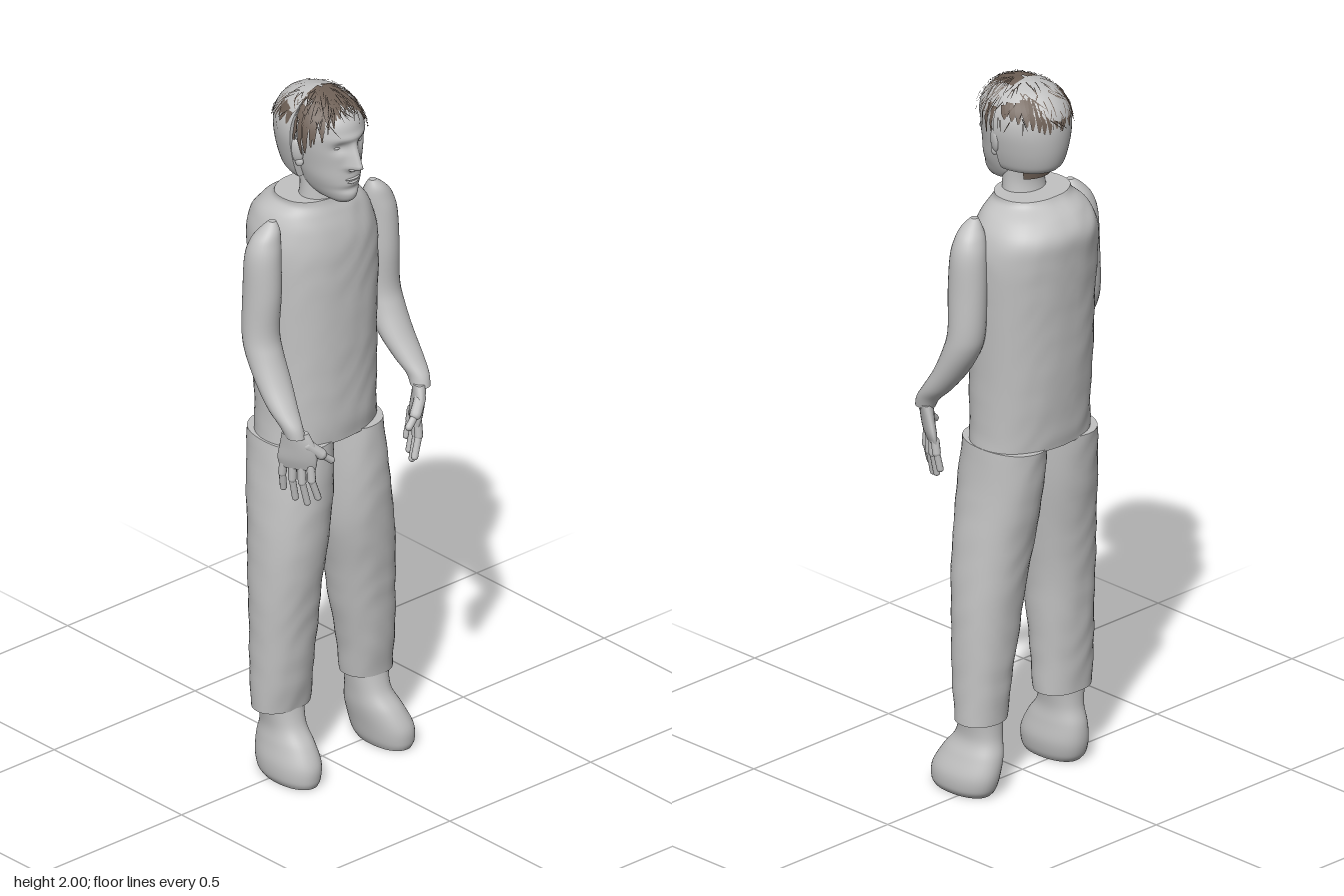
import * as THREE from 'three';

const grey = new THREE.MeshStandardMaterial({ color: 0xc2c2c2, name: 'plainGrey' });
const brown = new THREE.MeshStandardMaterial({ color: 0x6e6056, name: 'hairBrown', side: THREE.DoubleSide });

let seed = 7;
const rnd = () => (seed = (seed * 16807) % 2147483647) / 2147483647;
const V = (x, y, z) => new THREE.Vector3(x, y, z);
const bump = (d, s) => Math.exp(-(d * d) / (s * s));

function add(parent, name, geo, mat = grey) {
  const m = new THREE.Mesh(geo, mat);
  m.name = name;
  parent.add(m);
  return m;
}

// Smooth skin over horizontal rings [y, centre x, half width, front z, back z, widest z], bottom to top
function loft(rings, { seg = 40, steps = 6, power = 1, warp = null } = {}) {
  const full = rings.map(r => [...r.slice(0, 5), r[5] ?? (r[3] + r[4]) / 2]);
  const rows = [];
  for (let i = 0; i < full.length - 1; i++) {
    const q = [-1, 0, 1, 2].map(k => full[Math.min(full.length - 1, Math.max(0, i + k))]);
    for (let s = 0; s < steps + (i === full.length - 2 ? 1 : 0); s++) {
      const t = s / steps;
      rows.push(q[0].map((_, k) => {
        const [a, b, c, d] = q.map(r => r[k]);
        return b + 0.5 * t * (c - a + t * (2 * a - 5 * b + 4 * c - d + t * (3 * (b - c) + d - a)));
      }));
    }
  }
  const pos = [], idx = [];
  const put = r => {
    for (let j = 0; j < seg; j++) {
      const a = j / seg * Math.PI * 2, c = Math.cos(a), s = Math.sin(a);
      const cc = Math.sign(c) * Math.abs(c) ** power, ss = Math.sign(s) * Math.abs(s) ** power;
      const p = V(r[1] + r[2] * cc, r[0], r[5] + ss * (s > 0 ? r[3] - r[5] : r[5] - r[4]));
      if (warp) warp(p);
      pos.push(p.x, p.y, p.z);
    }
  };
  rows.forEach(put);
  for (let i = 0; i < rows.length - 1; i++) for (let j = 0; j < seg; j++) {
    const k = (j + 1) % seg, a = i * seg + j, b = i * seg + k;
    idx.push(a, a + seg, b, b, a + seg, b + seg);
  }
  // flat end caps
  [rows[0], rows[rows.length - 1]].forEach((r, top) => {
    const start = pos.length / 3;
    put(r);
    const c = V(r[1], r[0], (r[3] + r[4]) / 2);
    if (warp) warp(c);
    pos.push(c.x, c.y, c.z);
    for (let j = 0; j < seg; j++) {
      const a = start + j, b = start + (j + 1) % seg;
      idx.push(start + seg, top ? b : a, top ? a : b);
    }
  });
  const g = new THREE.BufferGeometry();
  g.setAttribute('position', new THREE.Float32BufferAttribute(pos, 3));
  g.setIndex(idx);
  g.computeVertexNormals();
  return g;
}

function ball(parent, name, p, s) {
  const m = add(parent, name, new THREE.SphereGeometry(1, 20, 14));
  m.position.set(...p);
  m.scale.set(...s);
  return m;
}

function capsule(parent, name, a, b, r) {
  const d = b.clone().sub(a);
  const m = add(parent, name, new THREE.CapsuleGeometry(r, d.length(), 4, 10));
  m.position.copy(a).add(b).multiplyScalar(0.5);
  m.quaternion.setFromUnitVectors(V(0, 1, 0), d.normalize());
}

// Soft lumps in the cloth
const creases = p => {
  const n = Math.sin(p.x * 45 + 2 * Math.sin(p.y * 19)) * Math.sin(p.y * 42 + 2 * Math.sin(p.x * 27 + p.z * 20));
  p.z += n * 0.0016;
  p.x += n * 0.001;
};

function buildHead(g) {
  const cx = -0.01;
  add(g, 'neck', loft([[1.66, cx, 0.066, 0.06, -0.055], [1.72, cx, 0.06, 0.056, -0.045], [1.8, cx, 0.06, 0.05, -0.06]]));
  // Face with nose, eye sockets, brow and chin pressed into the skin
  const features = p => {
    if (p.z < 0.05) return;
    const x = p.x - cx, y = p.y;
    const slope = y > 1.808 ? Math.max(0, 1 - (y - 1.808) / 0.075) : Math.max(0, 1 - (1.808 - y) / 0.016);
    p.z += 0.036 * slope * bump(x, 0.011 + 0.008 * slope);
    p.z -= 0.012 * bump(Math.abs(x) - 0.036, 0.02) * bump(y - 1.866, 0.016);
    p.z += 0.005 * bump(y - 1.893, 0.011) * bump(x, 0.06);
    p.z -= 0.007 * bump(y - 1.74, 0.01) * bump(x, 0.04);
  };
  add(g, 'face', loft([
    [1.697, cx, 0.026, 0.118, 0.06], [1.71, cx, 0.044, 0.131, 0.02, 0.05], [1.735, cx, 0.06, 0.136, -0.02, 0.03],
    [1.77, cx, 0.073, 0.135, -0.06, 0.03], [1.81, cx, 0.083, 0.134, -0.09, 0.02], [1.86, cx, 0.092, 0.136, -0.1, 0.02],
    [1.9, cx, 0.097, 0.137, -0.11, 0.01], [1.935, cx, 0.09, 0.128, -0.1, 0.01], [1.965, cx, 0.073, 0.101, -0.08, 0.01],
    [1.983, cx, 0.05, 0.069, -0.06, 0.01], [1.993, cx, 0.015, 0.02, -0.02, 0.0],
  ], { seg: 96, steps: 7, warp: features }));
  // Back of the skull, cut flat behind the ears
  const skull = [[1.757, 0.08, -0.1], [1.775, 0.09, -0.115], [1.82, 0.103, -0.128], [1.875, 0.112, -0.134], [1.92, 0.107, -0.13],
    [1.955, 0.088, -0.109], [1.98, 0.06, -0.075], [1.992, 0.02, -0.025]];
  add(g, 'skullBack', loft(skull.map(([y, w, b]) => [y, cx - 0.003, w, 0.011, b, 0.01]), { seg: 64 }));
  for (const s of [-1, 1]) {
    ball(g, 'eye', [cx + s * 0.036, 1.865, 0.107], [0.015, 0.006, 0.01]);
    ball(g, 'nostril', [cx + s * 0.012, 1.804, 0.138], [0.008, 0.007, 0.012]);
    const ear = ball(g, 'ear', [cx + s * 0.097, 1.842, 0.015], [0.01, 0.036, 0.02]);
    ear.rotation.set(-0.15, s * -0.35, s * -0.15);
    const lobe = ball(g, 'earLobe', [cx + s * 0.092, 1.81, 0.022], [0.008, 0.014, 0.012]);
    lobe.rotation.y = s * -0.3;
  }
  ball(g, 'upperLip', [cx, 1.771, 0.127], [0.025, 0.005, 0.012]);
  ball(g, 'lowerLip', [cx, 1.761, 0.126], [0.022, 0.006, 0.012]);
}

// Point on the scalp: az 90 is the front, el 90 the crown
function scalp(az, el, lift) {
  const a = az * Math.PI / 180, e = el * Math.PI / 180, back = Math.sin(a) < 0;
  return V(-0.012 + ((back ? 0.112 : 0.1) + lift) * Math.cos(e) * Math.cos(a), 1.883 + (0.111 + lift) * Math.sin(e),
    0.008 + ((back ? 0.141 : 0.135) + lift) * Math.cos(e) * Math.sin(a));
}

// Many tapering strips of hair in one mesh: [az0, el0, az1, el1, width, lift]
function hairMesh(parent, name, strips) {
  const pos = [], idx = [], n = 5;
  for (const [a0, e0, a1, e1, w, lift] of strips) {
    const base = pos.length / 3;
    for (let i = 0; i <= n; i++) {
      const t = i / n, at = u => scalp(a0 + (a1 - a0) * u, e0 + (e1 - e0) * u, lift);
      const p = at(t), dir = at(t + 0.05).sub(p);
      const out = p.clone().sub(V(-0.012, 1.883, 0.008));
      const side = dir.cross(out).normalize().multiplyScalar(w * (1 - 0.8 * t ** 3) / 2);
      for (const s of [-1, 1]) pos.push(p.x + s * side.x, p.y + s * side.y, p.z + s * side.z);
      if (i < n) { const k = base + i * 2; idx.push(k, k + 1, k + 2, k + 1, k + 3, k + 2); }
    }
  }
  const geo = new THREE.BufferGeometry();
  geo.setAttribute('position', new THREE.Float32BufferAttribute(pos, 3));
  geo.setIndex(idx);
  geo.computeVertexNormals();
  add(parent, name, geo, brown);
}

function buildHair(g) {
  const locks = [], strands = [];
  // Short fringe over the forehead, longer at the temples, with sideburns
  for (let az = 3; az <= 177; az += 6) {
    const low = 44 - 70 * Math.cos(az * Math.PI / 180) ** 2;
    locks.push([az, 88, az + rnd() * 6 - 3, low + rnd() * 8, 0.019, 0.004]);
    for (let k = 0; k < 3; k++) {
      const e = Math.max(low + 10, 25 + rnd() * 55);
      strands.push([az + rnd() * 6, e, az + rnd() * 40 - 20, Math.max(low - 8, e - 32), 0.0025, 0.006 + rnd() * 0.003]);
    }
  }
  // Thick locks down the back, with loose strands over the bare crown
  for (let az = 188; az <= 352; az += 7) {
    const middle = Math.abs(Math.sin(az * Math.PI / 180));
    locks.push([az, 34 + 22 * middle - rnd() * 6, az + rnd() * 10 - 5, 18 - 18 * middle + rnd() * 10, 0.021, 0.004]);
    for (let k = 0; k < 3; k++) {
      const e = 15 + rnd() * 60;
      strands.push([az + rnd() * 8, e, az + rnd() * 36 - 18, Math.max(-12, e - 16), 0.0025, 0.005 + rnd() * 0.003]);
    }
  }
  hairMesh(g, 'hairLocks', locks);
  hairMesh(g, 'hairStrands', strands);
  const nape = add(g, 'napeHair', new THREE.CylinderGeometry(0.076, 0.07, 0.03, 16, 1, true, Math.PI - 0.85, 1.7), brown);
  nape.position.set(-0.01, 1.748, 0);
}

function buildArm(side) {
  const g = new THREE.Group();
  g.name = side > 0 ? 'leftArm' : 'rightArm';
  const x = v => side * v;
  add(g, 'sleeveAndForearm', loft([
    [1.08, x(0.222), 0.025, 0.168, 0.11], [1.11, x(0.225), 0.029, 0.158, 0.09], [1.15, x(0.223), 0.04, 0.13, 0.048],
    [1.21, x(0.217), 0.049, 0.092, 0.0], [1.28, x(0.215), 0.051, 0.06, -0.042], [1.34, x(0.213), 0.05, 0.045, -0.058],
    [1.45, x(0.209), 0.049, 0.05, -0.061], [1.55, x(0.206), 0.048, 0.045, -0.057], [1.6, x(0.198), 0.042, 0.036, -0.045],
    [1.63, x(0.188), 0.028, 0.027, -0.028], [1.652, x(0.178), 0.01, 0.01, -0.01],
  ], { seg: 28 }));
  // Hand turned so its front edge points inward
  const turn = z => 0.55 * (0.135 - z);
  add(g, 'palm', loft([
    [0.98, x(0.205), 0.013, 0.175, 0.088], [1.01, x(0.211), 0.018, 0.182, 0.088], [1.05, x(0.217), 0.02, 0.182, 0.098],
    [1.09, x(0.222), 0.023, 0.166, 0.108],
  ], { seg: 24, warp: p => { p.x += x(turn(p.z)); } }));
  // Fingers in two bones each, then the thumb
  [[0.164, 0.172, 0.895], [0.142, 0.146, 0.875], [0.12, 0.117, 0.885], [0.098, 0.088, 0.91]].forEach(([z0, z1, tip]) => {
    const knee = V(x(0.206 + turn(z0)), (0.985 + tip) / 2 + 0.01, (z0 + z1) / 2);
    capsule(g, 'finger', V(x(0.206 + turn(z0)), 0.99, z0), knee, 0.0115);
    capsule(g, 'fingertip', knee, V(x(0.192 + turn(z1)), tip, z1), 0.0095);
  });
  capsule(g, 'thumbBase', V(x(0.2), 1.055, 0.162), V(x(0.168), 1.025, 0.18), 0.016);
  capsule(g, 'thumb', V(x(0.168), 1.025, 0.18), V(x(0.138), 1.0, 0.187), 0.01);
  return g;
}

// Leg and boot; rings hold [y, left x, left half width, right x, right half width, front z, back z]
const LEG = [
  [0.207, 0.165, 0.073, -0.138, 0.086, 0.052, -0.076], [0.3, 0.158, 0.078, -0.138, 0.088, 0.066, -0.08],
  [0.42, 0.145, 0.088, -0.136, 0.092, 0.078, -0.087], [0.55, 0.131, 0.096, -0.133, 0.096, 0.092, -0.094],
  [0.7, 0.108, 0.103, -0.121, 0.102, 0.107, -0.11], [0.85, 0.094, 0.096, -0.105, 0.102, 0.112, -0.135],
  [0.99, 0.088, 0.089, -0.092, 0.094, 0.104, -0.153],
];
const BOOT = [
  [0, 0.19, 0.05, -0.142, 0.05, 0.122, -0.06], [0.02, 0.191, 0.06, -0.142, 0.06, 0.129, -0.076],
  [0.06, 0.187, 0.064, -0.14, 0.064, 0.127, -0.086], [0.11, 0.173, 0.059, -0.139, 0.057, 0.102, -0.084],
  [0.16, 0.162, 0.052, -0.139, 0.052, 0.066, -0.07], [0.23, 0.162, 0.06, -0.14, 0.064, 0.046, -0.065],
];

export function createModel() {
  const model = new THREE.Group();
  model.name = 'standingMan';
  const head = new THREE.Group(), hair = new THREE.Group();
  head.name = 'head';
  hair.name = 'hair';
  buildHead(head);
  buildHair(hair);
  model.add(head, hair);

  add(model, 'torso', loft([
    [0.985, -0.002, 0.178, 0.1, -0.153], [1.05, 0, 0.174, 0.105, -0.16], [1.2, 0.002, 0.174, 0.105, -0.172],
    [1.4, 0.005, 0.18, 0.104, -0.184], [1.53, 0.006, 0.182, 0.1, -0.193], [1.6, 0.004, 0.17, 0.09, -0.196],
    [1.645, -0.002, 0.145, 0.075, -0.165], [1.672, -0.008, 0.114, 0.064, -0.125], [1.688, -0.01, 0.108, 0.06, -0.112],
  ], { seg: 56, power: 0.9, warp: creases }));

  for (const side of [1, -1]) {
    model.add(buildArm(side));
    const pick = r => [r[0], side > 0 ? r[1] : r[3], side > 0 ? r[2] : r[4], r[5], r[6]];
    const name = side > 0 ? 'left' : 'right';
    add(model, name + 'TrouserLeg', loft(LEG.map(pick), { power: 0.92, warp: creases }));
    add(model, name + 'Boot', loft(BOOT.map(pick), { power: 0.92 }));
  }
  return model;
}
